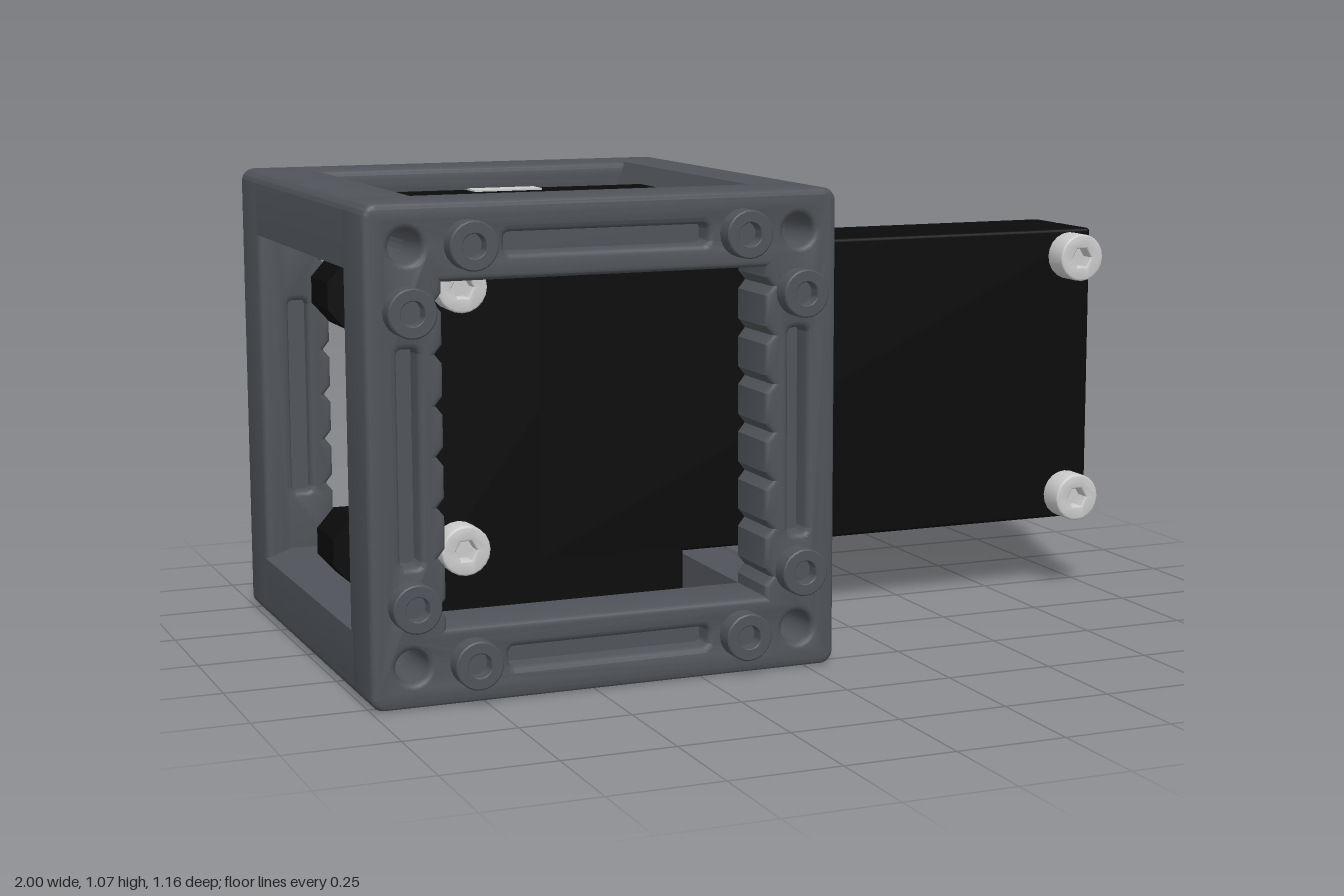
import * as THREE from 'three';
import { toCreasedNormals } from 'three/addons/utils/BufferGeometryUtils.js';
import { RoundedBoxGeometry } from 'three/addons/geometries/RoundedBoxGeometry.js';

const mat = (color) => new THREE.MeshStandardMaterial({ color });
const CX = -0.465, CY = 0.535; // centre of the cube frame
const HALF = 0.535, INNER = 0.367, MID = 0.444;

function roundRect(w, h, r) {
  const s = new THREE.Shape(), x = w / 2, y = h / 2;
  s.moveTo(-x + r, -y);
  s.lineTo(x - r, -y); s.absarc(x - r, -y + r, r, -Math.PI / 2, 0);
  s.lineTo(x, y - r); s.absarc(x - r, y - r, r, 0, Math.PI / 2);
  s.lineTo(-x + r, y); s.absarc(-x + r, y - r, r, Math.PI / 2, Math.PI);
  s.lineTo(-x, -y + r); s.absarc(-x + r, -y + r, r, Math.PI, Math.PI * 1.5);
  return s;
}

function movedPath(path, dx, dy) {
  return new THREE.Path(path.getPoints(8).map((p) => new THREE.Vector2(p.x + dx, p.y + dy)));
}

function circle(x, y, r) {
  return new THREE.Path().absarc(x, y, r, 0, Math.PI * 2);
}

const points = (list) => list.map(([x, y]) => new THREE.Vector2(x, y));

// extrusion centred on z
function extrude(shape, depth, bevel = 0) {
  const g = new THREE.ExtrudeGeometry(shape, {
    depth: depth - 2 * bevel, bevelEnabled: bevel > 0, bevelSize: bevel,
    bevelThickness: bevel, bevelOffset: -bevel, bevelSegments: 3, curveSegments: 10,
  });
  g.translate(0, 0, -depth / 2 + bevel);
  return toCreasedNormals(g, 0.6);
}

// closed opening with a row of V notches down its left and right edges
function notchedOpening() {
  const pts = [];
  for (const side of [1, -1]) {
    pts.push([INNER * side, -INNER * side]);
    for (let k = -3; k <= 3; k++) {
      const y = k * 0.108;
      pts.push([INNER * side, (y - 0.02) * side], [(INNER + 0.016) * side, y * side], [INNER * side, (y + 0.02) * side]);
    }
    pts.push([INNER * side, INNER * side]);
  }
  return new THREE.Path(points(pts));
}

export function createModel() {
  const root = new THREE.Group();
  const frameMat = mat(0x50545a), black = mat(0x0a0a0a), metal = mat(0xcccccc), shade = mat(0x707070);

  const add = (parent, name, geo, material, x = 0, y = 0, z = 0) => {
    const m = new THREE.Mesh(geo, material);
    m.name = name;
    m.position.set(x, y, z);
    parent.add(m);
    return m;
  };

  // ---- cube frame ----
  const frame = new THREE.Group();
  frame.name = 'cubeFrame';
  frame.position.set(CX, CY, 0);
  root.add(frame);

  // face ring with a notched opening, slots and corner holes
  const ring = roundRect(HALF * 2, HALF * 2, 0.03);
  ring.holes.push(notchedOpening());
  for (const s of [-1, 1]) {
    ring.holes.push(movedPath(roundRect(0.46, 0.044, 0.012), 0, s * MID));
    ring.holes.push(movedPath(roundRect(0.044, 0.46, 0.012), s * MID, 0));
    for (const t of [-1, 1]) ring.holes.push(circle(s * MID, t * MID, 0.036));
  }
  const ringGeo = extrude(ring, 0.165, 0.014);

  // hollow screw boss, axis along z
  const bossGeo = toCreasedNormals(new THREE.LatheGeometry(points([
    [0.053, -0.02], [0.053, 0.042], [0.05, 0.045], [0.028, 0.045], [0.026, 0.043], [0.026, 0.01], [0, 0.01],
  ]), 24).rotateX(Math.PI / 2), 0.6);

  for (const face of [1, -1]) {
    const end = new THREE.Group();
    end.name = face > 0 ? 'frontFace' : 'backFace';
    if (face < 0) end.rotation.y = Math.PI;
    frame.add(end);
    add(end, 'faceRing', ringGeo, frameMat, 0, 0, HALF - 0.0825);
    for (const s of [-1, 1]) {
      add(end, 'slotFloor', new THREE.BoxGeometry(0.48, 0.06, 0.08), frameMat, 0, s * MID, 0.44);
      add(end, 'slotFloor', new THREE.BoxGeometry(0.06, 0.48, 0.08), frameMat, s * MID, 0, 0.44);
      for (const t of [-1, 1]) {
        add(end, 'boss', bossGeo, frameMat, s * 0.31, t * MID, HALF);
        add(end, 'boss', bossGeo, frameMat, s * MID, t * 0.31, HALF);
      }
    }
  }

  // corner bars with a bore and sloped inner edges, joining both faces
  const bar = new THREE.Shape();
  bar.moveTo(INNER, INNER);
  bar.lineTo(0.475, INNER);
  bar.lineTo(HALF, 0.389);
  bar.lineTo(HALF, HALF - 0.03);
  bar.absarc(HALF - 0.03, HALF - 0.03, 0.03, 0, Math.PI / 2);
  bar.lineTo(0.389, HALF);
  bar.lineTo(INNER, 0.475);
  bar.holes.push(circle(MID, MID, 0.036));
  const barGeo = toCreasedNormals(extrude(bar, 0.79), 0.25);
  for (let i = 0; i < 4; i++) add(frame, 'cornerBar', barGeo, frameMat).rotation.z = i * Math.PI / 2;

  // ---- dark body: two layers meeting at a seam ----
  const body = new THREE.Group();
  body.name = 'body';
  root.add(body);
  for (const [z0, z1] of [[-0.195, -0.086], [-0.084, 0.066]]) {
    const d = z1 - z0, z = (z0 + z1) / 2;
    add(body, 'armLayer', new RoundedBoxGeometry(1.465, 0.728, d, 3, 0.009), black, 0.2645, 0.541, z);
    add(body, 'carriageLayer', new RoundedBoxGeometry(0.73, 0.99, d, 3, 0.009), black, CX, CY, z);
  }
  add(body, 'seamCore', new THREE.BoxGeometry(1.455, 0.718, 0.03), black, 0.2645, 0.541, -0.085);
  add(body, 'seamCore', new THREE.BoxGeometry(0.72, 0.98, 0.03), black, CX, CY, -0.085);

  // chamfered lugs hooking over the corner bars
  const lug = new THREE.Shape(points([
    [0, -0.075], [-0.09, -0.075], [-0.13, -0.03], [-0.13, 0.03], [-0.09, 0.075], [0, 0.075],
  ].reverse()));
  const lugGeo = extrude(lug, 0.14);
  for (const y of [0.245, 0.825]) add(body, 'lug', lugGeo, black, -0.82, y, -0.01);

  // ---- cap screws with hex sockets ----
  const head = new THREE.Shape().absarc(0, 0, 0.058, 0, Math.PI * 2);
  head.holes.push(new THREE.Path(Array.from({ length: 6 }, (_, i) =>
    new THREE.Vector2(0.026 * Math.cos(i * Math.PI / 3), 0.026 * Math.sin(i * Math.PI / 3)))));
  const headGeo = extrude(head, 0.068, 0.004);
  const floorGeo = new THREE.CylinderGeometry(0.03, 0.03, 0.04, 20).rotateX(Math.PI / 2);
  const tipGeo = new THREE.CylinderGeometry(0.02, 0.02, 0.02, 20).rotateX(Math.PI / 2);
  for (const x of [-0.66, 0.935]) for (const y of [0.238, 0.839]) {
    const screw = new THREE.Group();
    screw.name = 'capScrew';
    screw.position.set(x, y, 0);
    root.add(screw);
    add(screw, 'head', headGeo, metal, 0, 0, 0.099);
    add(screw, 'socketFloor', floorGeo, metal, 0, 0, 0.075);
    add(screw, 'tip', tipGeo, metal, 0, 0, -0.188);
  }

  // ---- mounting plate on the back ----
  const plate = new THREE.Group();
  plate.name = 'mountingPlate';
  plate.position.set(CX, CY, -0.245);
  root.add(plate);
  const core = roundRect(0.53, 0.97, 0.002);
  core.holes.push(circle(0, 0, 0.12));
  for (const s of [-1, 1]) {
    core.holes.push(circle(0, s * 0.275, 0.036), circle(s * 0.182, 0, 0.022));
  }
  add(plate, 'plateCore', extrude(core, 0.1), metal);
  const edgeGeo = extrude(roundRect(0.1, 0.1, 0.034), 0.97).rotateX(Math.PI / 2);
  for (const s of [-1, 1]) add(plate, 'roundedEdge', edgeGeo, metal, s * 0.25, 0, 0);
  add(plate, 'boreFloor', new THREE.CylinderGeometry(0.119, 0.119, 0.01, 32).rotateX(Math.PI / 2), metal, 0, 0, 0.045);
  for (const s of [-1, 1]) {
    add(plate, 'endInset', new THREE.BoxGeometry(0.175, 0.01, 0.075), shade, 0, s * 0.482, 0);
    add(plate, 'nut', new THREE.BoxGeometry(0.165, 0.03, 0.06), metal, 0, s * 0.484, 0.097);
  }
  return root;
}
